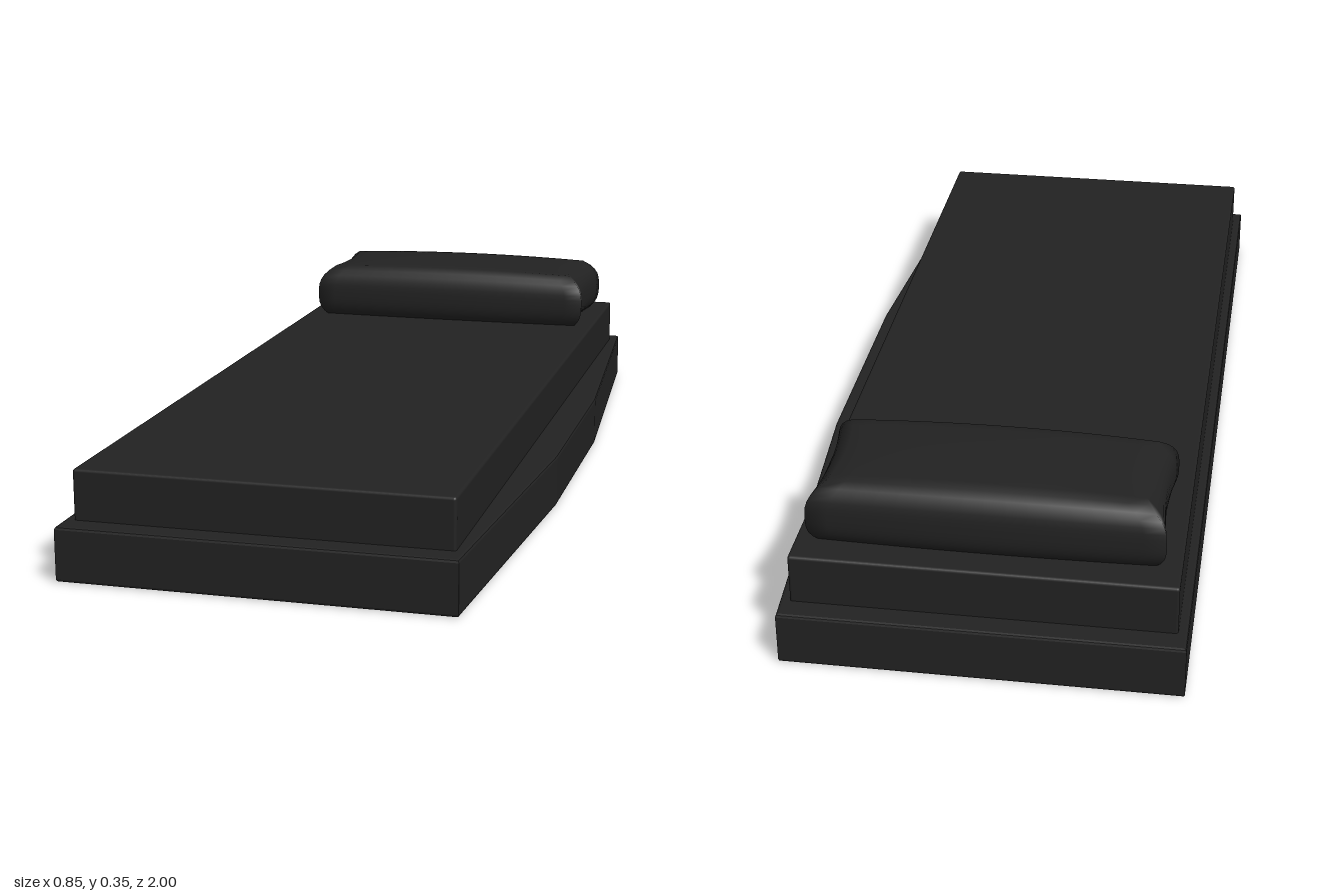
import * as THREE from 'three';
import { mergeVertices } from 'three/addons/utils/BufferGeometryUtils.js';
import { RoundedBoxGeometry } from 'three/addons/geometries/RoundedBoxGeometry.js';

const charcoal = new THREE.MeshStandardMaterial({ name: 'charcoal', color: 0x222222 });

function part(name, geometry) {
  const mesh = new THREE.Mesh(geometry, charcoal);
  mesh.name = name;
  return mesh;
}

// Platform with one bowed long side and a fine bevel
function platformGeometry() {
  const b = 0.006, height = 0.112;
  const outline = [[-0.425, -1], [0.372, -1], [0.423, -0.27], [0.423, 0.27], [0.372, 1], [-0.425, 1]]
    .map(([x, z]) => new THREE.Vector2(x - Math.sign(x) * b, z - Math.sign(z) * b));
  const geometry = new THREE.ExtrudeGeometry(new THREE.Shape(outline), {
    depth: height - 2 * b, bevelSize: b, bevelThickness: b, bevelSegments: 2,
  });
  return geometry.rotateX(-Math.PI / 2).translate(0, b, 0);
}

// Soft cushion: a box rounded in section, crowned on top and pinched at its ends
function pillowGeometry() {
  const hx = 0.352, hy = 0.071, hz = 0.147;
  const box = new THREE.BoxGeometry(2, 2, 2, 16, 12, 10);
  box.deleteAttribute('uv');
  box.deleteAttribute('normal');
  const geometry = mergeVertices(box);
  const p = geometry.attributes.position;
  for (let i = 0; i < p.count; i++) {
    const u = p.getX(i), t = p.getY(i), w = p.getZ(i);
    const inset = 0.04 * Math.abs(t) ** 3;
    const crown = t > 0 ? 0.013 * t * (1 - u * u) * (1 - 0.5 * w * w) : 0;
    p.setXYZ(i,
      u * (hx - inset - 0.012 * (1 - w * w)),
      t * hy + crown,
      w * (hz - inset * 0.75 + 0.006 * (1 - u * u)));
  }
  geometry.computeVertexNormals();
  return geometry;
}

export function createModel() {
  const group = new THREE.Group();
  group.name = 'bed';

  group.add(part('platform', platformGeometry()));

  const mattress = part('mattress', new RoundedBoxGeometry(0.76, 0.115, 1.9, 2, 0.006));
  mattress.position.set(-0.025, 0.1575, 0);
  group.add(mattress);

  const pillow = part('pillow', pillowGeometry());
  pillow.position.set(-0.022, 0.271, -0.747);
  group.add(pillow);

  return group;
}
